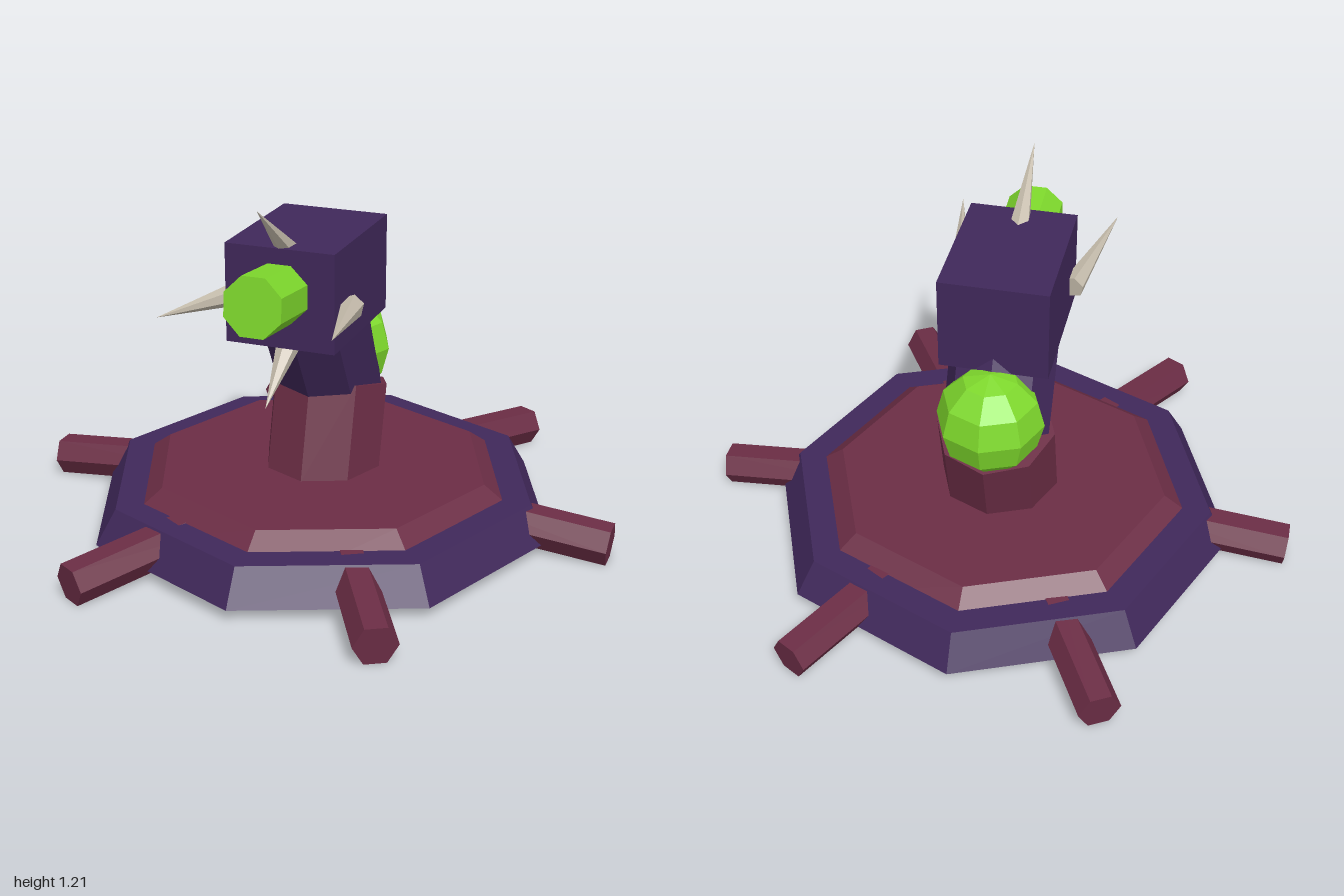
import * as THREE from 'three';

const material = (color) => new THREE.MeshStandardMaterial({ color, flatShading: true });
const UP = new THREE.Vector3(0, 1, 0);

export function createModel() {
  const model = new THREE.Group();
  const maroon = material(0x6b2d45);
  const purple = material(0x40285a);
  const green = material(0x7ed82c);
  const bone = material(0xc4bbab);

  function add(name, geometry, mat, x = 0, y = 0, z = 0, parent = model) {
    const mesh = new THREE.Mesh(geometry, mat);
    mesh.name = name;
    mesh.position.set(x, y, z);
    parent.add(mesh);
    return mesh;
  }

  // Faceted tapered rod running from point a to point b
  function rod(name, mat, a, b, rA, rB, sides, twist = 0, parent = model) {
    const start = new THREE.Vector3(...a);
    const end = new THREE.Vector3(...b);
    const axis = end.clone().sub(start);
    const geometry = new THREE.CylinderGeometry(rB, rA, axis.length(), sides).rotateY(twist);
    const middle = start.add(end).multiplyScalar(0.5);
    const mesh = add(name, geometry, mat, middle.x, middle.y, middle.z, parent);
    mesh.quaternion.setFromUnitVectors(UP, axis.normalize());
    return mesh;
  }

  // Two-tier octagonal base
  add('baseRim', new THREE.CylinderGeometry(0.73, 0.8, 0.115, 8), purple, 0, 0.1, 0);
  add('basePlate', new THREE.CylinderGeometry(0.57, 0.785, 0.155, 8), maroon, 0, 0.1255, 0);

  // Six hexagonal legs sloping down and outwards
  for (let i = 0; i < 6; i++) {
    const leg = new THREE.Group();
    leg.name = 'leg' + (i + 1);
    leg.rotation.y = i * Math.PI / 3;
    model.add(leg);
    rod('legBar', maroon, [0.4, 0.115, 0], [0.995, 0.063, 0], 0.07, 0.07, 6, 0, leg);
  }

  // Bent neck: lower part leans back, upper part leans forward
  const joint = [0, 0.475, -0.083];
  rod('lowerNeck', maroon, [0, 0.15, 0], joint, 0.2, 0.2, 8);
  rod('upperNeck', purple, joint, [0, 0.773, 0.08], 0.18, 0.18, 8);

  // Sac behind the neck
  add('backSac', new THREE.SphereGeometry(0.18, 8, 6), green, 0, 0.57, -0.16);

  // Head and nozzle
  add('head', new THREE.BoxGeometry(0.36, 0.32, 0.48), purple, 0, 0.89, 0.12);
  rod('nozzle', green, [0, 0.897, 0.27], [0, 0.928, 0.567], 0.1, 0.1, 8, Math.PI / 8);

  // Spikes around the face
  const spike = (name, base, tip) => rod(name, bone, base, tip, 0.04, 0, 6);
  spike('topSpike', [0, 1.002, 0.255], [0, 1.21, 0.524]);
  spike('bottomSpike', [0, 0.725, 0.283], [0, 0.572, 0.48]);
  for (const s of [1, -1]) {
    spike(s > 0 ? 'leftSpike' : 'rightSpike', [s * 0.19, 0.848, 0.235], [s * 0.277, 0.887, 0.64]);
  }

  return model;
}
